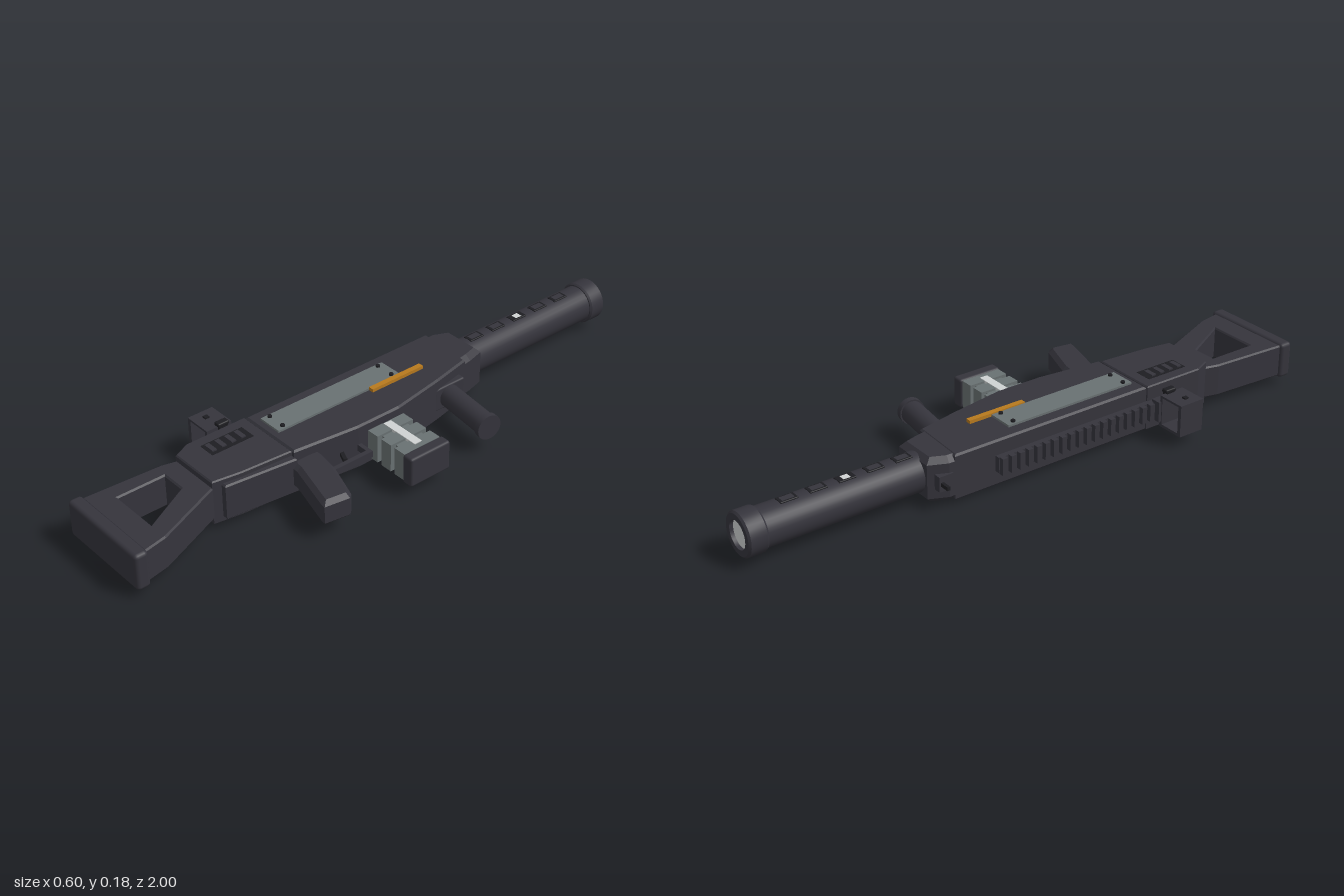
import * as THREE from 'three';
import { toCreasedNormals } from 'three/addons/utils/BufferGeometryUtils.js';
import { RoundedBoxGeometry } from 'three/addons/geometries/RoundedBoxGeometry.js';

const MID = 0.09; // height of the symmetry plane of the weapon lying on its side
const BX = -0.067; // barrel axis

export function createModel() {
  const root = new THREE.Group();
  root.name = 'blaster';
  const material = (name, color) => {
    const m = new THREE.MeshStandardMaterial({ color });
    m.name = name;
    return m;
  };
  const dark = material('gunmetal', 0x35343c);
  const black = material('black', 0x1e1e22);
  const steel = material('steel', 0x697172);
  const light = material('lightMetal', 0xcfd2d2);
  const gold = material('gold', 0xb87a1e);

  const add = (name, geo, mat, x = 0, y = 0, z = 0, parent = root) => {
    const mesh = new THREE.Mesh(geo, mat);
    mesh.name = name;
    mesh.position.set(x, y, z);
    parent.add(mesh);
    return mesh;
  };
  // box given by its x, y, z ranges
  const box = (name, mat, [x0, x1], [y0, y1], [z0, z1], r = 0) => {
    const s = [x1 - x0, y1 - y0, z1 - z0];
    const geo = r ? new RoundedBoxGeometry(...s, 2, r) : new THREE.BoxGeometry(...s);
    return add(name, geo, mat, (x0 + x1) / 2, (y0 + y1) / 2, (z0 + z1) / 2);
  };
  const sym = (h) => [MID - h, MID + h];
  // outline of [x, z] points extruded to half-thickness h about the symmetry plane
  const slab = (name, mat, points, h, bevel, hole) => {
    const flat = (list) => list.map(([x, z]) => new THREE.Vector2(x, -z));
    const shape = new THREE.Shape(flat(points));
    if (hole) shape.holes.push(new THREE.Path(flat(hole)));
    const geo = new THREE.ExtrudeGeometry(shape, {
      depth: 2 * (h - bevel), bevelEnabled: bevel > 0, bevelThickness: bevel,
      bevelSize: bevel, bevelOffset: -bevel, bevelSegments: 1,
    });
    geo.rotateX(-Math.PI / 2);
    return add(name, geo, mat, 0, MID - h + bevel, 0);
  };
  // turned part along the barrel, profile of [radius, distance towards the muzzle]
  const turned = (name, mat, profile, z) => {
    const geo = new THREE.LatheGeometry(profile.map(([r, y]) => new THREE.Vector2(r, y)), 32);
    geo.rotateX(-Math.PI / 2);
    return add(name, toCreasedNormals(geo, 0.5), mat, BX, MID + 0.003, z);
  };

  // Receiver: main housing, tapered nose and rear housing
  slab('mainHousing', dark, [
    [-0.165, -0.34], [-0.165, 0.385], [0.068, 0.385], [0.093, 0.16],
    [0.093, 0.0], [0.06, -0.19], [0.03, -0.33],
  ], 0.076, 0.006);
  slab('noseHousing', dark, [
    [-0.138, -0.42], [-0.165, -0.36], [-0.165, -0.3], [0.03, -0.3], [0.022, -0.36], [0.006, -0.42],
  ], 0.074, 0.018);
  slab('rearHousing', dark, [
    [-0.168, 0.387], [-0.168, 0.6], [-0.142, 0.655], [0.035, 0.655], [0.05, 0.56], [0.062, 0.387],
  ], 0.076, 0.004);
  slab('lowerStrip', dark, [[0.055, 0.385], [0.036, 0.625], [0.058, 0.625], [0.085, 0.385]], 0.06, 0.005);
  for (let i = 0; i < 6; i++) {
    const z = 0.42 + i * 0.035, x = 0.079 - (z - 0.385) * 0.11;
    box('stripRib', black, [x - 0.012, x + 0.002], sym(0.05), [z, z + 0.015]);
  }

  // Barrel with muzzle ring and bore
  turned('barrel', dark, [[0.066, 0], [0.062, 0.04], [0.062, 0.56]], -0.39);
  turned('muzzleRing', dark, [
    [0.06, 0], [0.066, 0], [0.07, 0.006], [0.07, 0.058], [0.064, 0.064], [0.045, 0.064], [0.045, 0.03],
  ], -0.936);
  add('bore', new THREE.CircleGeometry(0.046, 32).rotateY(Math.PI), light, BX, MID + 0.003, -0.988);

  // Details repeated on both flat sides
  for (const s of [1, -1]) {
    const layer = (a, b) => [MID + s * a, MID + s * b].sort((p, q) => p - q);
    box('sidePlate', steel, [-0.122, -0.035], layer(0.074, 0.083), [-0.115, 0.36]);
    box('goldStrip', gold, [-0.036, -0.018], layer(0.074, 0.087), [-0.195, 0.01]);
    for (const x of [-0.11, -0.048]) for (const z of [-0.09, 0.335]) {
      add('screw', new THREE.CylinderGeometry(0.007, 0.007, 0.008, 10), black, x, MID + s * 0.085, z);
    }
    // cooling vents on the rear housing
    box('ventPanel', black, [-0.13, -0.07], layer(0.072, 0.0768), [0.425, 0.575]);
    for (let i = 0; i < 4; i++) {
      const z = 0.445 + i * 0.035;
      box('ventFin', dark, [-0.122, -0.082], layer(0.075, 0.081), [z, z + 0.016]);
    }
    // barrel slots
    for (let i = 0; i < 5; i++) {
      const z = -0.84 + i * 0.095;
      box('barrelSlot', black, [BX - 0.017, BX + 0.017], [MID + 0.003 + s * 0.061 - 0.003, MID + 0.003 + s * 0.061 + 0.003],
        [z - 0.029, z + 0.029], 0.0025);
      const top = MID + 0.003 + s * 0.0635;
      box('slotInsert', i === 2 ? light : dark, [BX - 0.011, BX + 0.011], [top - 0.001, top + 0.001],
        i === 2 ? [z - 0.012, z + 0.012] : [z - 0.02, z + 0.02]);
    }
  }

  // Stock with a triangular opening and a butt pad
  slab('stock', dark, [[-0.14, 0.64], [-0.155, 0.7], [-0.17, 0.96], [0.145, 0.96], [0.13, 0.88], [0.03, 0.64]],
    0.055, 0.005, [[-0.105, 0.72], [-0.026, 0.72], [0.06, 0.88], [-0.105, 0.88]]);
  box('buttPad', dark, [-0.18, 0.158], sym(0.061), [0.955, 1], 0.012);

  // Accessory rail with teeth
  box('railBase', dark, [-0.183, -0.16], sym(0.026), [-0.195, 0.5]);
  for (let i = 0; i < 22; i++) {
    const z = -0.193 + i * 0.0315;
    box('railTooth', dark, [-0.2, -0.182], sym(0.028), [z, z + 0.018]);
  }

  // Sights
  const frame = new THREE.Shape([[-0.3, 0.038], [-0.203, 0.038], [-0.203, 0.145], [-0.3, 0.145]]
    .map((p) => new THREE.Vector2(...p)));
  frame.holes.push(new THREE.Path([[-0.287, 0.047], [-0.287, 0.138], [-0.213, 0.138], [-0.213, 0.047]]
    .map((p) => new THREE.Vector2(...p))));
  add('rearSightFrame', new THREE.ExtrudeGeometry(frame, { depth: 0.09, bevelEnabled: false }), dark, 0, 0, 0.41);
  box('sightClamp', dark, [-0.21, -0.175], sym(0.034), [0.4, 0.49]);
  box('sightKnobStem', black, [-0.212, -0.193], [0.128, 0.15], [0.43, 0.46]);
  box('sightKnob', black, [-0.214, -0.191], [0.147, 0.16], [0.425, 0.465], 0.004);
  box('sightButton', black, [-0.272, -0.258], [0.143, 0.15], [0.45, 0.465]);
  box('clampScrew', black, [-0.205, -0.195], sym(0.012), [0.49, 0.51]);
  box('frontSightPost', black, [-0.205, -0.13], sym(0.006), [-0.395, -0.385]);
  box('frontSightBase', dark, [-0.172, -0.14], sym(0.025), [-0.4, -0.35]);

  // Pistol grip, trigger and guard
  slab('pistolGrip', dark, [[0.06, 0.29], [0.155, 0.305], [0.285, 0.35], [0.298, 0.365],
    [0.285, 0.448], [0.27, 0.447], [0.1, 0.4], [0.06, 0.4]], 0.043, 0.014);
  box('guardFront', dark, [0.08, 0.145], sym(0.011), [0.15, 0.164]);
  box('guardBar', dark, [0.131, 0.146], sym(0.011), [0.15, 0.33]);
  const trigger = box('trigger', black, [0.07, 0.122], sym(0.007), [0.218, 0.23]);
  trigger.rotation.y = -0.4;

  // Ribbed magazine
  box('magazineCore', steel, [0.08, 0.27], sym(0.04), [0.005, 0.105]);
  for (const x of [0.095, 0.155, 0.215]) box('magazineRib', steel, [x, x + 0.043], sym(0.047), [-0.015, 0.125]);
  box('magazineBar', light, [0.1, 0.24], sym(0.049), [0.04, 0.068]);
  box('magazineCap', dark, [0.258, 0.298], sym(0.05), [-0.022, 0.132], 0.008);

  // Forward grip, slightly raked
  box('foregripMount', dark, [0.02, 0.062], sym(0.04), [-0.3, -0.175], 0.006);
  const foregrip = new THREE.Group();
  foregrip.name = 'foregrip';
  foregrip.position.set(0.16, MID, -0.222);
  foregrip.rotation.y = -0.13;
  root.add(foregrip);
  const rod = (name, r, len, x) =>
    add(name, new THREE.CylinderGeometry(r, r, len, 24).rotateZ(-Math.PI / 2), dark, x, 0, 0, foregrip);
  rod('foregripHandle', 0.037, 0.215, -0.005);
  rod('foregripCap', 0.042, 0.02, 0.103);

  return root;
}
